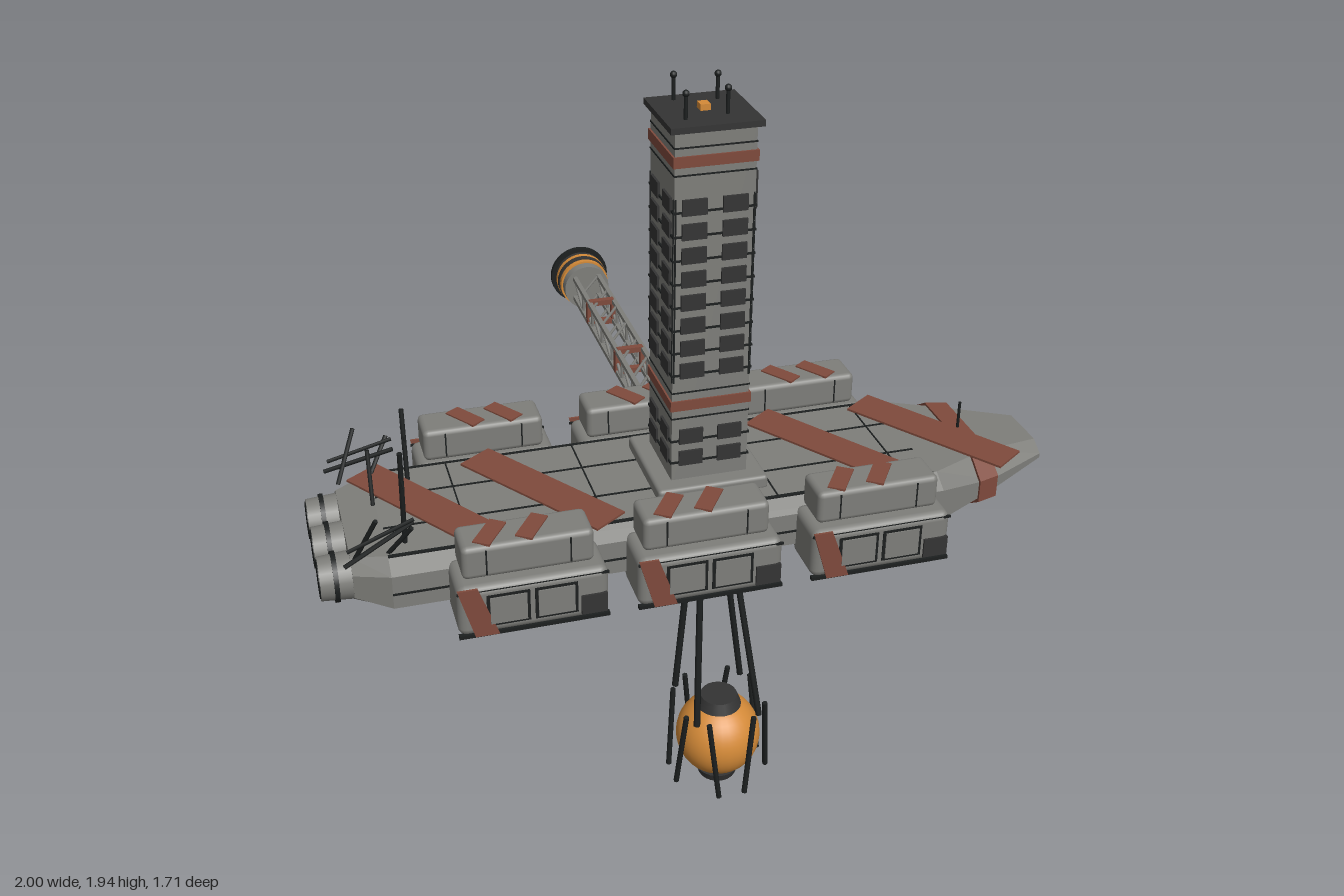
import * as THREE from 'three';
import { RoundedBoxGeometry } from 'three/addons/geometries/RoundedBoxGeometry.js';

const mat = (name, color) => Object.assign(new THREE.MeshStandardMaterial({ color }), { name });

export function createModel() {
  const grey = mat('hull grey', 0x7e7e7a);
  const dark = mat('dark panel', 0x343434);
  const black = mat('black trim', 0x1c1f1f);
  const red = mat('rust red', 0x7f4a3c);
  const orange = mat('orange', 0xd48a38);
  const model = new THREE.Group();
  const CX = 0.03, CZ = 0.482; // tower axis and hull centreline

  const group = (name, parent = model) => {
    const g = new THREE.Group();
    g.name = name;
    parent.add(g);
    return g;
  };
  const add = (parent, name, geo, m, x = 0, y = 0, z = 0) => {
    const mesh = new THREE.Mesh(geo, m);
    mesh.name = name;
    mesh.position.set(x, y, z);
    parent.add(mesh);
    return mesh;
  };
  const box = (p, name, m, w, h, d, x, y, z) => add(p, name, new THREE.BoxGeometry(w, h, d), m, x, y, z);
  const rounded = (p, name, m, w, h, d, x, y, z, r = 0.015) =>
    add(p, name, new RoundedBoxGeometry(w, h, d, 2, r), m, x, y, z);
  const rod = (p, name, m, a, b, r, sides = 6) => {
    const A = new THREE.Vector3(...a), B = new THREE.Vector3(...b), dir = B.clone().sub(A);
    const mesh = add(p, name, new THREE.CylinderGeometry(r, r, dir.length(), sides), m);
    mesh.position.copy(A).add(B).multiplyScalar(0.5);
    mesh.quaternion.setFromUnitVectors(new THREE.Vector3(0, 1, 0), dir.normalize());
    return mesh;
  };

  // Chamfered sections [x, half width, low y, high y, chamfer z, chamfer y], joined along x
  const loft = (sections) => {
    const rings = sections.map(([x, w, lo, hi, c, e]) => [
      [-w, lo + e], [-w, hi - e], [-w + c, hi], [w - c, hi],
      [w, hi - e], [w, lo + e], [w - c, lo], [-w + c, lo],
    ].map(([z, y]) => [x, y, z + CZ]));
    const pos = [];
    for (let s = 0; s + 1 < rings.length; s++) {
      const A = rings[s], B = rings[s + 1];
      for (let i = 0; i < 8; i++) {
        const j = (i + 1) % 8;
        pos.push(...A[i], ...A[j], ...B[j], ...A[i], ...B[j], ...B[i]);
      }
    }
    const F = rings[0], L = rings[rings.length - 1];
    for (let i = 1; i < 7; i++) pos.push(...L[0], ...L[i], ...L[i + 1], ...F[0], ...F[i + 1], ...F[i]);
    const geo = new THREE.BufferGeometry();
    geo.setAttribute('position', new THREE.Float32BufferAttribute(pos, 3));
    geo.computeVertexNormals();
    return geo;
  };

  // Hull with tapered nose and a painted nose band
  const hull = group('hull');
  add(hull, 'hullBody', loft([
    [-0.92, 0.2, 0.72, 0.845, 0.04, 0.03],
    [-0.83, 0.25, 0.705, 0.858, 0.05, 0.03],
    [0.64, 0.25, 0.705, 0.858, 0.05, 0.03],
    [0.81, 0.195, 0.715, 0.852, 0.07, 0.05],
    [1.0, 0.108, 0.765, 0.828, 0.04, 0.025],
  ]), grey);
  add(hull, 'noseBand', loft([
    [0.765, 0.217, 0.705, 0.86, 0.065, 0.045],
    [0.825, 0.2, 0.705, 0.86, 0.065, 0.045],
  ]), red);
  box(hull, 'bellyPlate', black, 1.46, 0.008, 0.39, -0.09, 0.703, CZ);
  for (const s of [-1, 1]) {
    box(hull, 'deckSeam', black, 1.45, 0.004, 0.006, -0.1, 0.858, CZ + s * 0.075);
    box(hull, 'edgeTrim', black, 1.46, 0.008, 0.01, -0.1, 0.855, CZ + s * 0.2);
    box(hull, 'sideSeam', black, 1.46, 0.005, 0.006, -0.1, 0.777, CZ + s * 0.25);
  }
  for (const x of [-0.62, -0.27, 0.19, 0.55]) box(hull, 'crossSeam', black, 0.004, 0.004, 0.4, x, 0.858, CZ);
  for (const x of [-0.705, -0.4, 0.41, 0.716]) {
    box(hull, 'deckStripe', red, 0.106, 0.006, 0.49, x, 0.862, CZ).rotation.y = 0.6;
  }
  rod(hull, 'noseMast', black, [0.795, 0.85, CZ], [0.795, 0.94, CZ], 0.004);

  // Engines at the stern
  const engines = group('engines');
  for (const z of [0.345, CZ, 0.62]) {
    const turn = (mesh) => { mesh.rotation.z = Math.PI / 2; };
    turn(add(engines, 'engineNozzle', new THREE.CylinderGeometry(0.056, 0.063, 0.1, 24), grey, -0.95, 0.78, z));
    turn(add(engines, 'engineRing', new THREE.CylinderGeometry(0.065, 0.065, 0.012, 24), black, -0.96, 0.78, z));
    turn(add(engines, 'engineMouth', new THREE.CylinderGeometry(0.05, 0.05, 0.004, 24), black, -1.0, 0.78, z));
  }

  // Side modules: three along each flank, with roof lockers and painted stripes
  const slant = new THREE.Shape([[-0.05, 0.07], [0, 0.07], [0.05, -0.07], [-0.01, -0.07]]
    .map(([x, y]) => new THREE.Vector2(x, y)));
  const slantGeo = new THREE.ExtrudeGeometry(slant, { depth: 0.006, bevelEnabled: false });
  for (const s of [-1, 1]) {
    for (const x of [-0.5, -0.045, 0.415]) {
      const m = group('sideModule');
      const face = CZ + s * 0.37;
      rounded(m, 'moduleBody', grey, 0.38, 0.14, 0.15, x, 0.772, CZ + s * 0.296, 0.022);
      box(m, 'moduleRail', black, 0.38, 0.01, 0.012, x, 0.704, face - s * 0.004);
      box(m, 'moduleRail', black, 0.38, 0.006, 0.006, x, 0.828, face - s * 0.004);
      for (const px of [-0.065, 0.055]) {
        box(m, 'panelFrame', black, 0.108, 0.09, 0.006, x + px, 0.772, face);
        box(m, 'panelFace', grey, 0.092, 0.076, 0.006, x + px, 0.772, face + s * 0.003);
      }
      box(m, 'vent', dark, 0.066, 0.055, 0.009, x + 0.15, 0.745, face + s * 0.002);
      add(m, 'moduleStripe', slantGeo, red, x - 0.14, 0.772, face - 0.003 + s * 0.002);
      rounded(m, 'roofLocker', grey, 0.33, 0.092, 0.113, x - 0.005, 0.894, CZ + s * 0.287);
      for (const px of [-0.11, 0.1]) {
        box(m, 'lockerSeam', black, 0.004, 0.07, 0.115, x + px, 0.894, CZ + s * 0.287);
      }
      const shift = s < 0 ? 0.0 : -0.045;
      for (const px of [-0.045, 0.06]) {
        box(m, 'lockerStripe', red, 0.045, 0.006, 0.105, x + px + shift, 0.941, CZ + s * 0.287).rotation.y = -s * 0.6;
      }
    }
  }

  // Tower
  const tower = group('tower');
  rounded(tower, 'towerBase', grey, 0.3, 0.04, 0.3, CX, 0.872, CZ, 0.01);
  box(tower, 'towerShaft', grey, 0.206, 1.0, 0.206, CX, 1.355, CZ);
  for (const y of [1.113, 1.775]) box(tower, 'towerBand', red, 0.216, 0.028, 0.216, CX, y, CZ);
  for (const y of [1.075, 1.15, 1.74, 1.81]) box(tower, 'towerSeam', black, 0.21, 0.004, 0.21, CX, y, CZ);
  const rows = [0.957, 1.021];
  for (let i = 0; i < 8; i++) rows.push(1.213 + i * 0.0635);
  for (const y of rows) box(tower, 'floorLine', black, 0.214, 0.005, 0.214, CX, y - 0.012, CZ);
  for (let side = 0; side < 4; side++) {
    const wall = group('towerWall', tower);
    wall.position.set(CX, 0, CZ);
    wall.rotation.y = side * Math.PI / 2;
    for (const y of rows) {
      if (side === 1 && y > 1.62) continue;
      for (const x of [-0.052, 0.052]) box(wall, 'window', dark, 0.064, 0.042, 0.009, x, y, 0.105);
    }
    for (const x of [-0.1, 0.1]) box(wall, 'cornerSeam', black, 0.004, 0.5, 0.005, x, 1.43, 0.103);
  }
  box(tower, 'sensorPanel', dark, 0.022, 0.1, 0.13, CX + 0.11, 1.67, CZ + 0.003);
  box(tower, 'servicePanel', dark, 0.01, 0.1, 0.06, CX + 0.104, 0.99, CZ + 0.055);
  box(tower, 'towerRoof', dark, 0.235, 0.016, 0.235, CX, 1.858, CZ);
  box(tower, 'roofBeacon', orange, 0.026, 0.016, 0.03, CX, 1.874, CZ);
  for (const [x, z] of [[-0.022, 0.4], [0.085, 0.42], [-0.035, 0.545], [0.075, 0.53]]) {
    rod(tower, 'roofAntenna', black, [x, 1.86, z], [x, 1.93, z], 0.005);
    add(tower, 'antennaTip', new THREE.SphereGeometry(0.009, 10, 8), black, x, 1.93, z);
  }

  // Lattice boom to the rear
  const boom = group('boom');
  const x0 = -0.01, x1 = 0.07, y0 = 0.803, y1 = 0.872, zA = 0.22, zB = -0.74, bays = 8;
  for (const x of [x0, x1]) for (const y of [y0, y1]) {
    box(boom, 'boomChord', grey, 0.014, 0.014, zA - zB, x, y, (zA + zB) / 2);
  }
  for (let i = 0; i < bays; i++) {
    const z = zA + (zB - zA) * i / bays, zn = zA + (zB - zA) * (i + 1) / bays;
    for (const x of [x0, x1]) {
      rod(boom, 'boomBrace', grey, [x, y0, z], [x, y1, zn], 0.005);
      rod(boom, 'boomPost', grey, [x, y0, z], [x, y1, z], 0.005);
    }
    for (const y of [y0, y1]) rod(boom, 'boomBrace', grey, [x0, y, z], [x1, y, zn], 0.005);
  }
  for (const z of [-0.197, -0.542]) {
    for (const x of [x0, x1]) box(boom, 'boomCollar', red, 0.017, 0.07, 0.02, x, 0.8375, z);
    for (const y of [y0, y1]) box(boom, 'boomCollar', red, 0.08, 0.017, 0.02, 0.03, y, z);
  }
  // Stepped drum at the boom end: [material, radius, z start, z end]
  for (const [m, r, a, b] of [
    [grey, 0.074, -0.735, -0.77], [orange, 0.08, -0.768, -0.787], [dark, 0.083, -0.785, -0.808],
    [orange, 0.084, -0.806, -0.822], [dark, 0.082, -0.82, -0.842], [black, 0.096, -0.84, -0.855],
  ]) add(boom, 'boomDrum', new THREE.CylinderGeometry(r, r, a - b, 32), m, 0.03, 0.835, (a + b) / 2).rotation.x = Math.PI / 2;

  // Hanging pod on four cables
  const pod = group('pod');
  const PZ = 0.715, PY = 0.137;
  rounded(pod, 'cableBlock', grey, 0.21, 0.085, 0.15, CX + 0.003, 0.668, 0.635);
  add(pod, 'podSphere', new THREE.SphereGeometry(0.116, 32, 24), orange, CX, PY, PZ);
  add(pod, 'podTopCap', new THREE.CylinderGeometry(0.05, 0.062, 0.03, 20), dark, CX, 0.253, PZ);
  add(pod, 'podBottomCap', new THREE.CylinderGeometry(0.06, 0.052, 0.024, 20), dark, CX, 0.014, PZ);
  for (const s of [-1, 1]) {
    rod(pod, 'cable', black, [CX + s * 0.05, 0.64, 0.685], [CX + s * 0.088, 0.24, 0.797], 0.009);
    rod(pod, 'cable', black, [CX + s * 0.05, 0.64, 0.588], [CX + s * 0.095, 0.24, 0.617], 0.009);
  }
  for (let i = 0; i < 8; i++) {
    const t = (i + 0.5) * Math.PI / 4, lean = i % 2 ? 0.12 : -0.12;
    const at = (a, r, y) => [CX + r * Math.cos(a), y, PZ + r * Math.sin(a)];
    rod(pod, 'podStrut', black, at(t + lean, 0.135, 0.02), at(t - lean, 0.128, 0.26), 0.0075);
  }

  // Stern antennas and leaning aerial frames
  const aerials = group('sternAerials');
  rod(aerials, 'mast', black, [-0.78, 0.85, 0.63], [-0.78, 1.13, 0.656], 0.007);
  rod(aerials, 'mastBar', black, [-0.78, 1.05, 0.615], [-0.78, 1.05, 0.69], 0.003);
  rod(aerials, 'mast', black, [-0.73, 0.85, 0.34], [-0.73, 1.055, 0.308], 0.007);
  rod(aerials, 'mastBar', black, [-0.73, 0.98, 0.27], [-0.73, 0.98, 0.35], 0.003);
  rod(aerials, 'mast', black, [-0.835, 0.85, 0.44], [-0.835, 1.0, 0.4], 0.006);
  for (const s of [-1, 1]) {
    const z = CZ + s * 0.18;
    rod(aerials, 'aerialArm', black, [-0.94, 0.865, z + s * 0.05], [-0.76, 0.935, z], 0.006);
    rod(aerials, 'aerialArm', black, [-0.93, 0.9, z + s * 0.04], [-0.76, 0.955, z + s * 0.02], 0.005);
    rod(aerials, 'aerialStay', black, [-0.91, 0.85, z], [-0.855, 0.985, z + s * 0.05], 0.006);
    rod(aerials, 'aerialStay', black, [-0.83, 0.85, z], [-0.77, 0.95, z + s * 0.05], 0.006);
  }
  return model;
}
